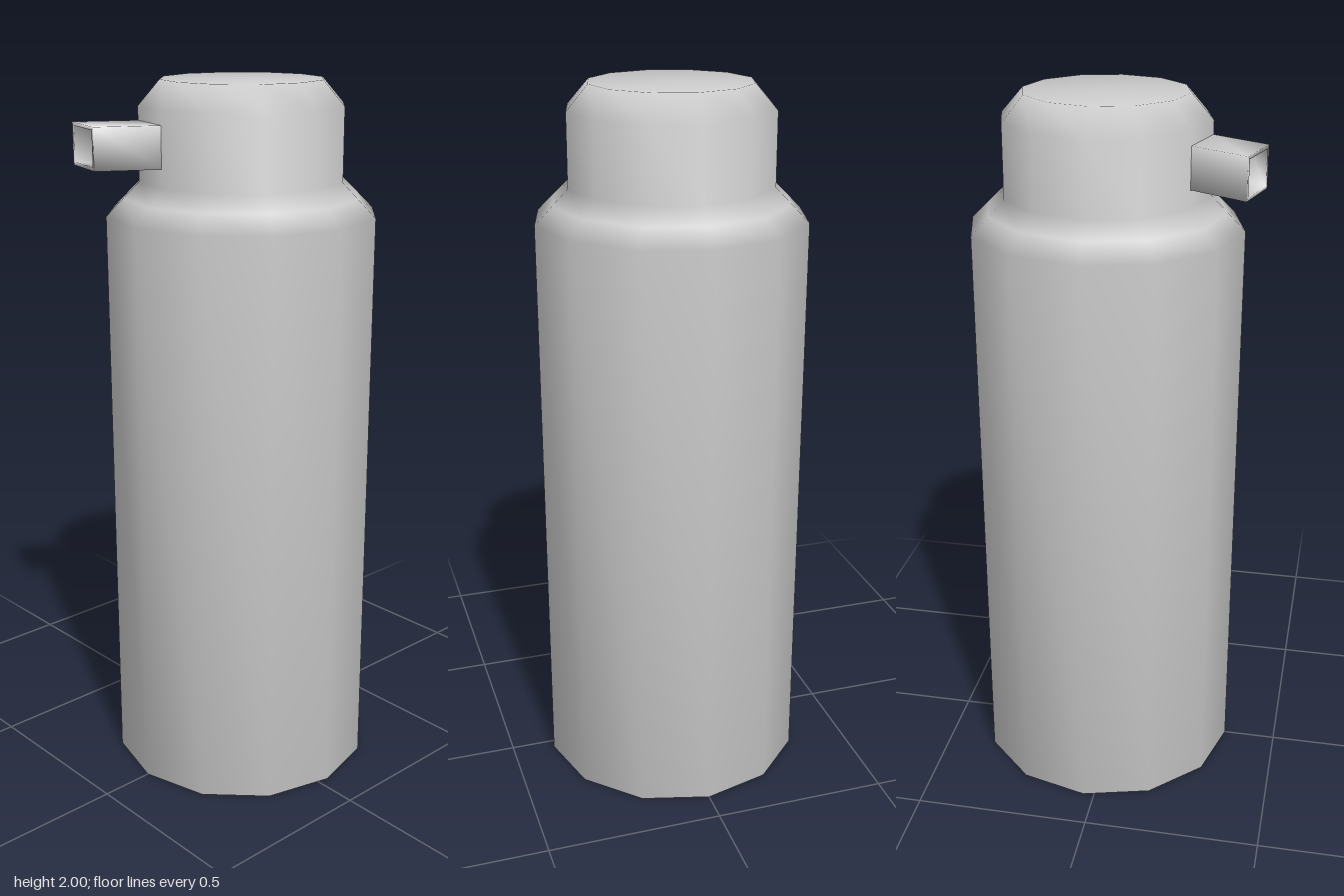
import * as THREE from 'three';
import { mergeVertices } from 'three/addons/utils/BufferGeometryUtils.js';

const SIDES = 12;
const CENTRE_Z = -0.031;

// Weld shared corners so shading runs smoothly over the whole part
function smoothMesh(name, geometry) {
  geometry.deleteAttribute('normal');
  geometry.deleteAttribute('uv');
  const welded = mergeVertices(geometry, 1e-4);
  welded.computeVertexNormals();
  const mesh = new THREE.Mesh(welded, new THREE.MeshStandardMaterial({ color: 0xcccccc }));
  mesh.name = name;
  return mesh;
}

// Bottle, shoulder and pump cap share one turned profile
function createBottle() {
  const profile = [
    [0, 0], [0.378, 0],          // base
    [0.378, 1.64],               // wall
    [0.33, 1.688], [0.285, 1.732], // shoulder
    [0.285, 1.932],              // cap side
    [0.225, 2], [0, 2],          // bevel and top
  ].map(([r, y]) => new THREE.Vector2(r, y));
  const bottle = smoothMesh('bottleAndCap', new THREE.LatheGeometry(profile, SIDES));
  bottle.position.z = CENTRE_Z;
  return bottle;
}

// Slanted spout growing from one facet of the cap, with a recessed mouth
function createSpout() {
  const [bottom, top] = [1.782, 1.895];
  const left = [-0.1425, 0.216], right = [0, 0.254];
  const reach = new THREE.Vector3(-0.087, 0, 0.152);
  const corners = [[left, bottom], [right, bottom], [right, top], [left, top]]
    .map(([[x, z], y]) => new THREE.Vector3(x, y, z));
  const centre = corners.reduce((sum, c) => sum.add(c), new THREE.Vector3()).divideScalar(4);

  // Each ring: distance along the spout, size relative to the facet
  const rings = [[0, 1], [1, 1], [1, 0.84], [0.7, 0.74]];
  const positions = [];
  for (const [along, size] of rings) {
    for (const c of corners) {
      const p = c.clone().sub(centre).multiplyScalar(size).add(centre).addScaledVector(reach, along);
      positions.push(p.x, p.y, p.z);
    }
  }
  const index = [];
  for (let r = 0; r < rings.length - 1; r++) {
    for (let i = 0; i < 4; i++) {
      const a = r * 4 + i, b = r * 4 + (i + 1) % 4;
      index.push(a, b, b + 4, a, b + 4, a + 4);
    }
  }
  const end = (rings.length - 1) * 4;
  index.push(end, end + 1, end + 2, end, end + 2, end + 3);

  const geometry = new THREE.BufferGeometry();
  geometry.setAttribute('position', new THREE.Float32BufferAttribute(positions, 3));
  geometry.setIndex(index);
  return smoothMesh('spout', geometry);
}

export function createModel() {
  const model = new THREE.Group();
  model.name = 'pumpBottle';
  model.add(createBottle(), createSpout());
  return model;
}
